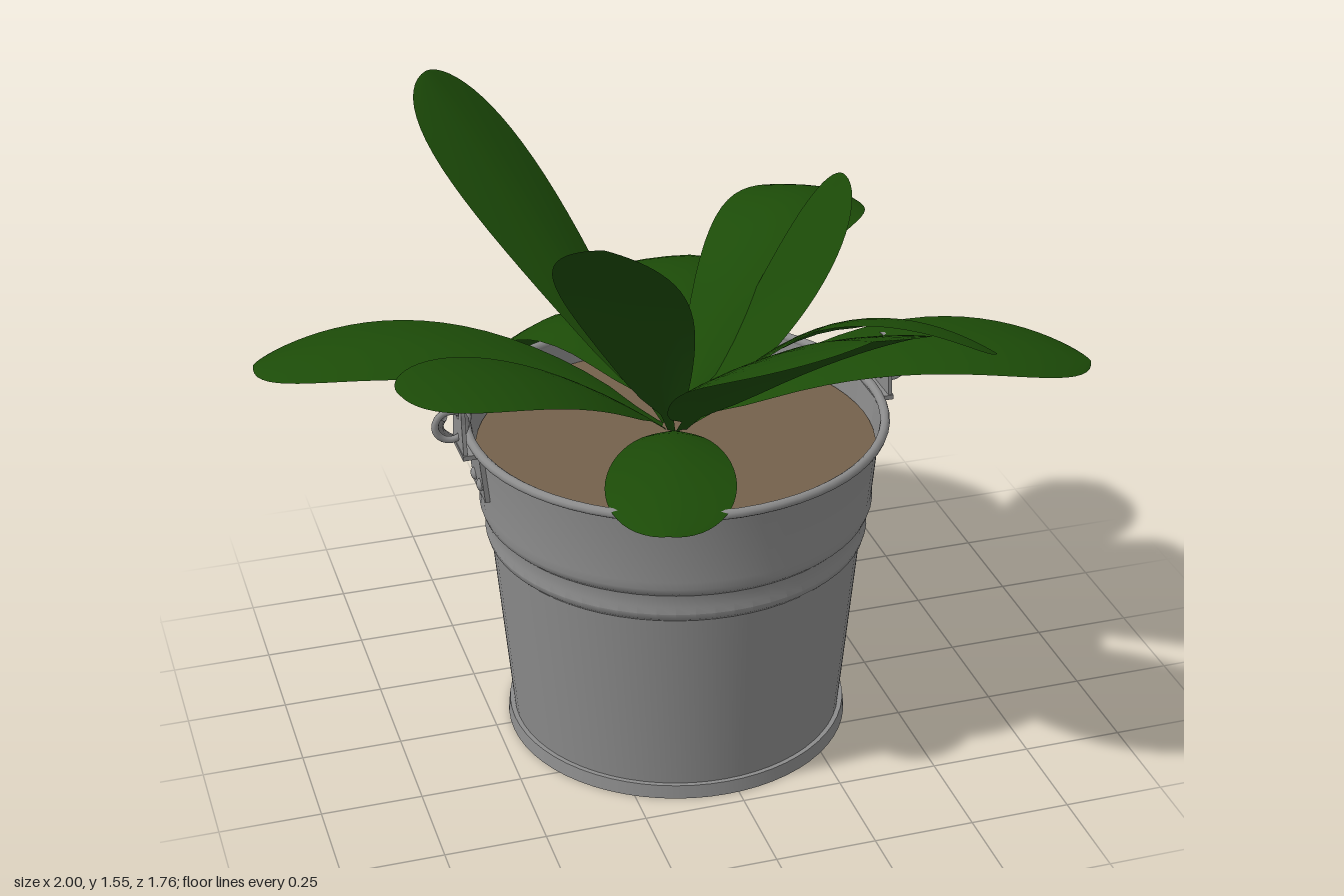
import * as THREE from 'three';
import { toCreasedNormals } from 'three/addons/utils/BufferGeometryUtils.js';

const material = (name, color, side = THREE.FrontSide) => {
  const m = new THREE.MeshStandardMaterial({ color, side });
  m.name = name;
  return m;
};

// Leaf: a curve from base through mid to tip, swept as a thin stem opening into an arched blade
function leafGeometry(tip, midPlan, midY, width, arch, roll = 0) {
  const centre = new THREE.Vector3(-0.01, 0.77, -0.04);
  const end = new THREE.Vector3(...tip);
  const plan = end.clone().sub(centre).setY(0);
  const base = centre.clone().addScaledVector(plan.clone().normalize(), 0.03);
  const mid = base.clone().lerp(end, midPlan).setY(midY);
  const control = mid.multiplyScalar(2).addScaledVector(base, -0.5).addScaledVector(end, -0.5);
  const curve = new THREE.QuadraticBezierCurve3(base, control, end);
  const level = new THREE.Vector3(-plan.z, 0, plan.x).normalize();
  const rows = 24, cols = 8, pos = [], index = [];
  for (let i = 0; i <= rows; i++) {
    const t = Math.sin((i / rows) * Math.PI / 2);
    const p = curve.getPoint(t), along = curve.getTangent(t);
    const side = level.clone().applyAxisAngle(along, roll * Math.min(1, t * 2));
    const up = new THREE.Vector3().crossVectors(side, along).normalize();
    const open = THREE.MathUtils.smoothstep(t, -0.02, 0.16);
    const blade = 1.58 * open * Math.pow(t, 0.72) * Math.sqrt(Math.max(0, 1 - Math.pow(t, 3)));
    const half = width / 2 * Math.max(0.06 * (1 - t), blade);
    for (let j = 0; j <= cols; j++) {
      const s = (j / cols) * 2 - 1;
      const drop = half * arch * (Math.abs(s) * 0.3 + s * s * 0.7);
      const q = p.clone().addScaledVector(side, s * half).addScaledVector(up, -drop);
      pos.push(q.x, q.y, q.z);
      if (i < rows && j < cols) {
        const a = i * (cols + 1) + j, b = a + cols + 1;
        index.push(a, a + 1, b, a + 1, b + 1, b);
      }
    }
  }
  const g = new THREE.BufferGeometry();
  g.setAttribute('position', new THREE.Float32BufferAttribute(pos, 3));
  g.setIndex(index);
  g.computeVertexNormals();
  return g;
}

export function createModel() {
  const model = new THREE.Group();
  model.name = 'pottedPlant';
  const metal = material('galvanised metal', 0x8c8c8c, THREE.DoubleSide);
  const soilMat = material('soil', 0x74614c);
  const leafMat = material('leaf green', 0x1c4b08, THREE.DoubleSide);

  const bucket = new THREE.Group();
  bucket.name = 'bucket';
  bucket.position.set(-0.03, 0, 0.03);
  model.add(bucket);
  const add = (parent, name, geometry, mat, x = 0, y = 0, z = 0) => {
    const mesh = new THREE.Mesh(geometry, mat);
    mesh.name = name;
    mesh.position.set(x, y, z);
    parent.add(mesh);
    return mesh;
  };

  // Tapered wall with two raised bands
  const wall = [
    [0.415, 0.02], [0.461, 0.53], [0.471, 0.54], [0.475, 0.555], [0.469, 0.572], [0.472, 0.605],
    [0.482, 0.615], [0.487, 0.63], [0.485, 0.648], [0.502, 0.84],
  ].map(([r, y]) => new THREE.Vector2(r, y));
  add(bucket, 'wall', toCreasedNormals(new THREE.LatheGeometry(wall, 64), 0.6), metal);
  add(bucket, 'foot', new THREE.CylinderGeometry(0.428, 0.432, 0.035, 64), metal, 0, 0.0175);
  const rim = add(bucket, 'rim', new THREE.TorusGeometry(0.512, 0.012, 10, 64), metal, 0, 0.84);
  rim.rotation.x = Math.PI / 2;
  add(bucket, 'soil', new THREE.CircleGeometry(0.492, 64), soilMat, 0, 0.77).rotation.x = -Math.PI / 2;

  // Vertical seam down one side, below and above the bands
  for (const [r, y, height] of [[0.439, 0.28, 0.5], [0.488, 0.68, 0.06]])
    add(bucket, 'seam', new THREE.BoxGeometry(0.012, height, 0.008), metal, r, y, -0.017).rotation.z = -0.09;

  // Handle brackets, mirrored on both sides
  const tab = new THREE.Shape();
  tab.moveTo(-0.058, -0.02);
  tab.lineTo(0.058, -0.02);
  tab.lineTo(0.045, 0.07);
  tab.absarc(0, 0.09, 0.045, 0, Math.PI, false);
  tab.lineTo(-0.058, -0.02);
  const hole = new THREE.Path();
  hole.absarc(0, 0.085, 0.018, 0, Math.PI * 2, true);
  tab.holes.push(hole);
  const tabGeometry = new THREE.ExtrudeGeometry(tab, { depth: 0.01, bevelEnabled: false });
  tabGeometry.rotateY(Math.PI / 2);
  for (const side of [0, Math.PI]) {
    const ear = new THREE.Group();
    ear.name = side ? 'rightBracket' : 'leftBracket';
    ear.rotation.y = side;
    bucket.add(ear);
    add(ear, 'bracketPlate', new THREE.BoxGeometry(0.012, 0.13, 0.124), metal, 0.498, 0.77).rotation.z = -0.1;
    add(ear, 'bracketStep', new THREE.BoxGeometry(0.045, 0.012, 0.12), metal, 0.525, 0.832);
    add(ear, 'bracketTab', tabGeometry, metal, 0.535, 0.845);
    for (const z of [-0.03, 0.03])
      add(ear, 'rivet', new THREE.SphereGeometry(0.016, 12, 8), metal, 0.5, 0.74, z).scale.x = 0.7;
    add(ear, 'handleLoop', new THREE.TorusGeometry(0.038, 0.009, 8, 24), metal, 0.562, 0.895);
  }

  // Wire handle swung down behind the bucket
  const arc = [];
  for (let i = 0; i <= 24; i++) {
    const a = (i / 24) * Math.PI, c = Math.cos(a), s = Math.sin(a);
    arc.push(new THREE.Vector3(Math.sign(c) * Math.pow(Math.abs(c), 0.85) * 0.578, 0.92 - 0.38 * s, -0.49 * s));
  }
  add(bucket, 'handle', new THREE.TubeGeometry(new THREE.CatmullRomCurve3(arc), 72, 0.0095, 8), metal);

  // Leaves: tip, plan position of the middle, middle height, width, arching, roll
  const leaves = [
    [[-0.99, 0.9, -0.42], 0.5, 0.975, 0.34, 0.16],
    [[-0.48, 1.55, -0.61], 0.52, 1.21, 0.3, 0.15],
    [[0.15, 1.41, 0.88], 0.48, 1.16, 0.52, 0.16],
    [[-0.31, 1.48, 0.41], 0.53, 1.19, 0.32, 0.12],
    [[0.42, 1.39, -0.03], 0.53, 1.06, 0.3, 0.06],
    [[0.57, 1.14, -0.51], 0.5, 1.14, 0.36, 0.16],
    [[0.66, 1.07, 0.38], 0.48, 1.1, 0.3, 0.12, -0.42],
    [[1.0, 0.91, 0.19], 0.5, 0.985, 0.33, 0.16],
    [[-0.73, 1.05, 0.14], 0.5, 1.0, 0.33, 0.1],
    [[-0.22, 0.84, 0.6], 0.5, 0.88, 0.31, 0.15],
    [[0.3, 0.765, -0.865], 0.5, 0.985, 0.48, 0.18],
    [[-0.25, 0.5, -0.72], 0.66, 0.89, 0.34, 0.2],
  ];
  const plant = new THREE.Group();
  plant.name = 'plant';
  model.add(plant);
  leaves.forEach((leaf, i) => add(plant, `leaf${i + 1}`, leafGeometry(...leaf), leafMat));
  return model;
}
